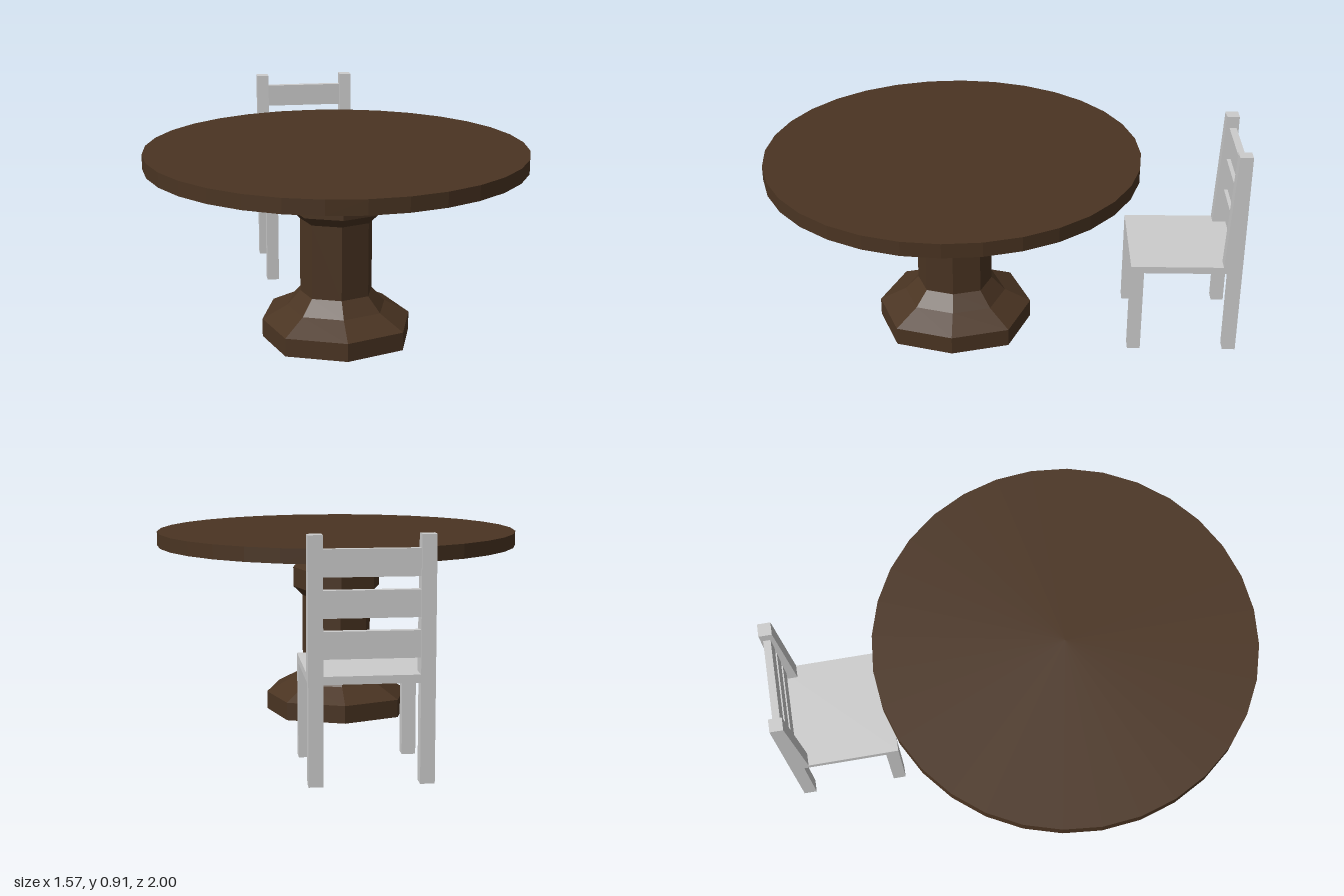
import * as THREE from 'three';

const wood = new THREE.MeshStandardMaterial({ color: 0x4a3422, flatShading: true });
wood.name = 'dark brown wood';
const paint = new THREE.MeshStandardMaterial({ color: 0xcccccc, flatShading: true });
paint.name = 'light grey paint';

function add(parent, name, geometry, material) {
  const mesh = new THREE.Mesh(geometry, material);
  mesh.name = name;
  parent.add(mesh);
  return mesh;
}

// Box given by its limits on each axis
function block(parent, name, [x0, x1], [y0, y1], [z0, z1]) {
  const mesh = add(parent, name, new THREE.BoxGeometry(x1 - x0, y1 - y0, z1 - z0), paint);
  mesh.position.set((x0 + x1) / 2, (y0 + y1) / 2, (z0 + z1) / 2);
}

// Eight-sided turned part, slightly narrowed at its two side corners
function octagonal(profile, sideScale) {
  const geometry = new THREE.LatheGeometry(profile.map(([r, y]) => new THREE.Vector2(r, y)), 8);
  const p = geometry.attributes.position;
  for (let i = 0; i < p.count; i++) {
    const x = p.getX(i), z = p.getZ(i);
    if (Math.abs(z) < 1e-4) p.setX(i, x * sideScale);
    else if (Math.abs(x) > 1e-4) p.setXYZ(i, x * 1.03, p.getY(i), z * 1.02);
  }
  geometry.computeVertexNormals();
  return geometry;
}

function createTable() {
  const table = new THREE.Group();
  table.name = 'table';
  table.position.z = 0.213;
  const top = add(table, 'tableTop', new THREE.CylinderGeometry(0.787, 0.787, 0.06, 32), wood);
  top.position.y = 0.782;
  // Foot, column and collar in one profile
  add(table, 'pedestal', octagonal([
    [0, 0.01], [0.332, 0.01], [0.332, 0.087], [0.22, 0.145], [0.161, 0.207],
    [0.161, 0.522], [0.204, 0.562], [0.204, 0.647], [0.163, 0.697], [0, 0.697],
  ], 0.94), wood);
  add(table, 'pedestalCap', octagonal([
    [0, 0.695], [0.209, 0.695], [0.209, 0.753], [0, 0.753],
  ], 0.965), wood);
  return table;
}

function createChair() {
  const chair = new THREE.Group();
  chair.name = 'chair';
  const left = 0.24, right = -0.22, w = 0.054;
  block(chair, 'seat', [right, left], [0.375, 0.405], [-0.999, -0.537]);

  // Back post outline: straight leg, then a tapering upright (depth, height)
  const outline = new THREE.Shape([
    [1, 0], [1, 0.91], [0.946, 0.91], [0.922, 0.405], [0.922, 0.375], [0.945, 0.375], [0.945, 0],
  ].map(([d, y]) => new THREE.Vector2(d, y)));
  for (const [side, x] of [['left', left - w], ['right', right]]) {
    block(chair, side + 'FrontLeg', [x, x + w], [0, 0.404], [-0.592, -0.537]);
    const post = new THREE.ExtrudeGeometry(outline, { depth: w, bevelEnabled: false });
    post.rotateY(Math.PI / 2);
    add(chair, side + 'BackPost', post, paint).position.x = x;
  }

  // Three back slats
  for (let i = 0; i < 3; i++) {
    const y = 0.465 + i * 0.147;
    block(chair, 'backSlat' + (i + 1), [right + w, left - w], [y, y + 0.1], [-0.99, -0.96]);
  }
  return chair;
}

export function createModel() {
  const model = new THREE.Group();
  model.name = 'tableAndChair';
  model.add(createTable(), createChair());
  return model;
}
